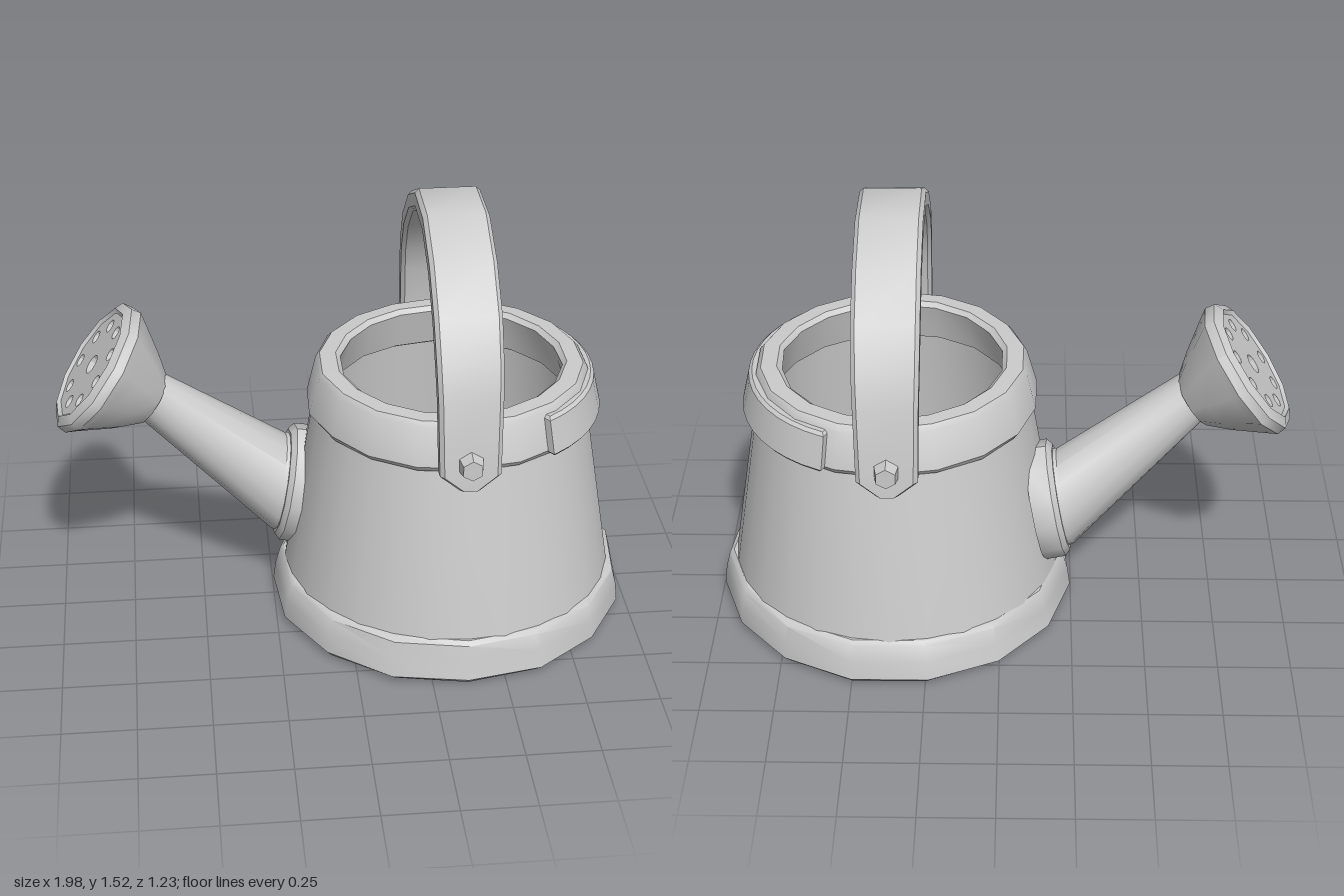
import * as THREE from 'three';
import { toCreasedNormals } from 'three/addons/utils/BufferGeometryUtils.js';

const V2 = (x, y) => new THREE.Vector2(x, y);
const V3 = (x, y, z) => new THREE.Vector3(x, y, z);
const CX = 0.37; // the can stands off-centre, the spout fills the other side

// Repeatable value in -1..1 for hand-cut unevenness
const hash = (a, b) => {
  const s = Math.sin(a * 12.99 + b * 78.23) * 43758.55;
  return (s - Math.floor(s)) * 2 - 1;
};

// Lathe with slightly uneven radius per column and per row
function unevenLathe(profile, sides, wobble, crease = 0.6) {
  const geo = new THREE.LatheGeometry(profile.map(p => V2(...p)), sides);
  const pos = geo.attributes.position, rows = profile.length;
  for (let i = 0; i < pos.count; i++) {
    const col = Math.floor(i / rows) % sides, row = i % rows;
    const k = 1 + wobble * (0.6 * hash(col, 1) + 0.4 * hash(col, row + 2));
    pos.setX(i, pos.getX(i) * k);
    pos.setZ(i, pos.getZ(i) * k);
  }
  return toCreasedNormals(geo, crease);
}

// Skin over equal-sized rings, closed at both ends
function loft(rings, crease = 0.6) {
  const n = rings[0].length, index = [];
  const points = rings.flat();
  for (let i = 0; i < rings.length - 1; i++) {
    for (let k = 0; k < n; k++) {
      const a = i * n + k, b = i * n + (k + 1) % n;
      index.push(a, b, b + n, a, b + n, a + n);
    }
  }
  const last = (rings.length - 1) * n;
  for (let k = 1; k < n - 1; k++) {
    index.push(0, k + 1, k, last, last + k, last + k + 1);
  }
  const geo = new THREE.BufferGeometry().setFromPoints(points);
  geo.setIndex(index);
  return toCreasedNormals(geo.toNonIndexed(), crease);
}

// Ellipse ring facing along an axis in the xy plane
function ellipse(center, axis, rz, rv, n) {
  const u = V3(0, 0, 1), v = axis.clone().normalize().cross(u);
  return Array.from({ length: n }, (_, k) => {
    const t = (k / n) * Math.PI * 2;
    return center.clone().addScaledVector(u, rz * Math.cos(t)).addScaledVector(v, rv * Math.sin(t));
  });
}

export function createModel() {
  const group = new THREE.Group();
  const material = new THREE.MeshStandardMaterial({ color: 0xcccccc });
  const add = (name, geo, x = 0, y = 0, z = 0, parent = group) => {
    const mesh = new THREE.Mesh(geo, material);
    mesh.name = name;
    mesh.position.set(x, y, z);
    parent.add(mesh);
    return mesh;
  };

  // Hollow tapered body with inner floor
  add('body', unevenLathe([
    [0.583, 0.12], [0.472, 0.79], [0.46, 0.85], [0.44, 0.85], [0.53, 0.12], [0, 0.12],
  ], 28, 0.004), CX);

  // Heavy band around the foot, with a closed underside
  add('baseBand', unevenLathe([
    [0, 0], [0.6, 0], [0.625, 0.025], [0.615, 0.09], [0.6, 0.15], [0.585, 0.163], [0.54, 0.163],
  ], 15, 0.014, 0.7), CX);

  // Rolled rim around the opening
  add('rim', unevenLathe([
    [0.44, 0.765], [0.485, 0.765], [0.497, 0.785], [0.465, 0.915], [0.45, 0.933],
    [0.395, 0.935], [0.378, 0.92], [0.415, 0.78], [0.44, 0.765],
  ], 18, 0.012), CX);

  // Second layer of the rim strap, overlapping on the side away from the spout
  const arc = new THREE.Shape();
  const a0 = THREE.MathUtils.degToRad(-55), a1 = THREE.MathUtils.degToRad(65);
  arc.absarc(0, 0, 0.507, a0, a1, false);
  arc.absarc(0, 0, 0.44, a1, a0, true);
  const strap = new THREE.ExtrudeGeometry(arc, {
    depth: 0.115, curveSegments: 8, bevelEnabled: true,
    bevelSize: 0.01, bevelThickness: 0.01, bevelSegments: 1,
  });
  strap.rotateX(-Math.PI / 2);
  const sp = strap.attributes.position;
  for (let i = 0; i < sp.count; i++) {
    const k = 1 - 0.45 * sp.getY(i);
    sp.setXYZ(i, sp.getX(i) * k, sp.getY(i), sp.getZ(i) * k);
  }
  add('rimOverlap', toCreasedNormals(strap, 0.6), CX, 0.783, 0);

  // Arched strap handle: [z, y, half width], mirrored front to back
  const half = [
    [0.545, 0.748, 0.035], [0.542, 0.8, 0.1], [0.53, 0.9, 0.102], [0.508, 1.05, 0.105],
    [0.475, 1.15, 0.108], [0.4, 1.28, 0.11], [0.27, 1.4, 0.11], [0.1, 1.482, 0.11],
  ];
  const path = [...half, ...half.slice().reverse().map(([z, y, w]) => [-z, y, w])];
  const handleRings = path.map(([z, y, w], i) => {
    const p = path[Math.max(i - 1, 0)], q = path[Math.min(i + 1, path.length - 1)];
    const t = V3(0, q[1] - p[1], q[0] - p[0]).normalize();
    const v = t.clone().cross(V3(1, 0, 0));
    const h = 0.036, c = 0.014;
    return [[w, c - h], [w, h - c], [w - c, h], [c - w, h], [-w, h - c], [-w, c - h], [c - w, -h], [w - c, -h]]
      .map(([a, b]) => V3(0.36 + a, y, z).addScaledVector(v, b));
  });
  add('handle', loft(handleRings, 0.7));

  // Bolts holding the handle feet
  for (const side of [1, -1]) {
    const bolt = new THREE.CylinderGeometry(0.036, 0.052, 0.075, 6);
    bolt.rotateX(side * Math.PI / 2);
    add(side > 0 ? 'frontBolt' : 'backBolt', toCreasedNormals(bolt, 0.4), 0.36, 0.845, side * 0.575);
  }

  // Collar lying against the body wall
  const wallOut = V3(-0.98, 0.19, 0);
  const wall = V3(-0.165, 0.41, -0.085);
  const onWall = d => wall.clone().addScaledVector(wallOut, d);
  add('spoutCollar', loft([
    ellipse(onWall(-0.045), wallOut, 0.185, 0.22, 12),
    ellipse(onWall(0.03), wallOut, 0.185, 0.217, 12),
    ellipse(onWall(0.048), wallOut, 0.165, 0.195, 12),
  ]));

  // Tapered spout from the collar up to the sprinkler head
  const spoutAxis = V3(-0.75, 0.66, 0);
  add('spout', loft([
    ellipse(onWall(0.02), wallOut, 0.16, 0.19, 16),
    ellipse(onWall(0.06), wallOut, 0.152, 0.178, 16),
    ellipse(V3(-0.67, 0.83, -0.04), spoutAxis, 0.078, 0.085, 16),
  ]));

  // Sprinkler head, built upright and tilted outward
  const head = new THREE.Group();
  head.name = 'sprinklerHead';
  head.position.set(-0.664, 0.803, -0.045);
  head.quaternion.setFromUnitVectors(V3(0, 1, 0), V3(-0.8, 0.6, 0));
  head.scale.z = 1.12;
  group.add(head);
  add('headCup', unevenLathe([
    [0, -0.01], [0.095, -0.01], [0.15, 0.06], [0.22, 0.165], [0.24, 0.195],
    [0.236, 0.228], [0.205, 0.245], [0.19, 0.23], [0.19, 0.205], [0, 0.205],
  ], 11, 0.015), 0, 0, 0, head);

  // Face plate with one centre hole and a ring of nine
  const face = new THREE.Shape().absarc(0, 0, 0.198, 0, Math.PI * 2, false);
  const drill = (x, y, r) => face.holes.push(new THREE.Path().absarc(x, y, r, 0, Math.PI * 2, true));
  drill(0, 0, 0.034);
  for (let i = 0; i < 9; i++) {
    const t = (i / 9) * Math.PI * 2 + Math.PI / 2;
    drill(0.145 * Math.sin(t), 0.145 * Math.cos(t), 0.023);
  }
  const plate = new THREE.ExtrudeGeometry(face, { depth: 0.028, bevelEnabled: false, curveSegments: 7 });
  plate.rotateX(-Math.PI / 2);
  add('headPlate', plate, 0, 0.206, 0, head);

  return group;
}
